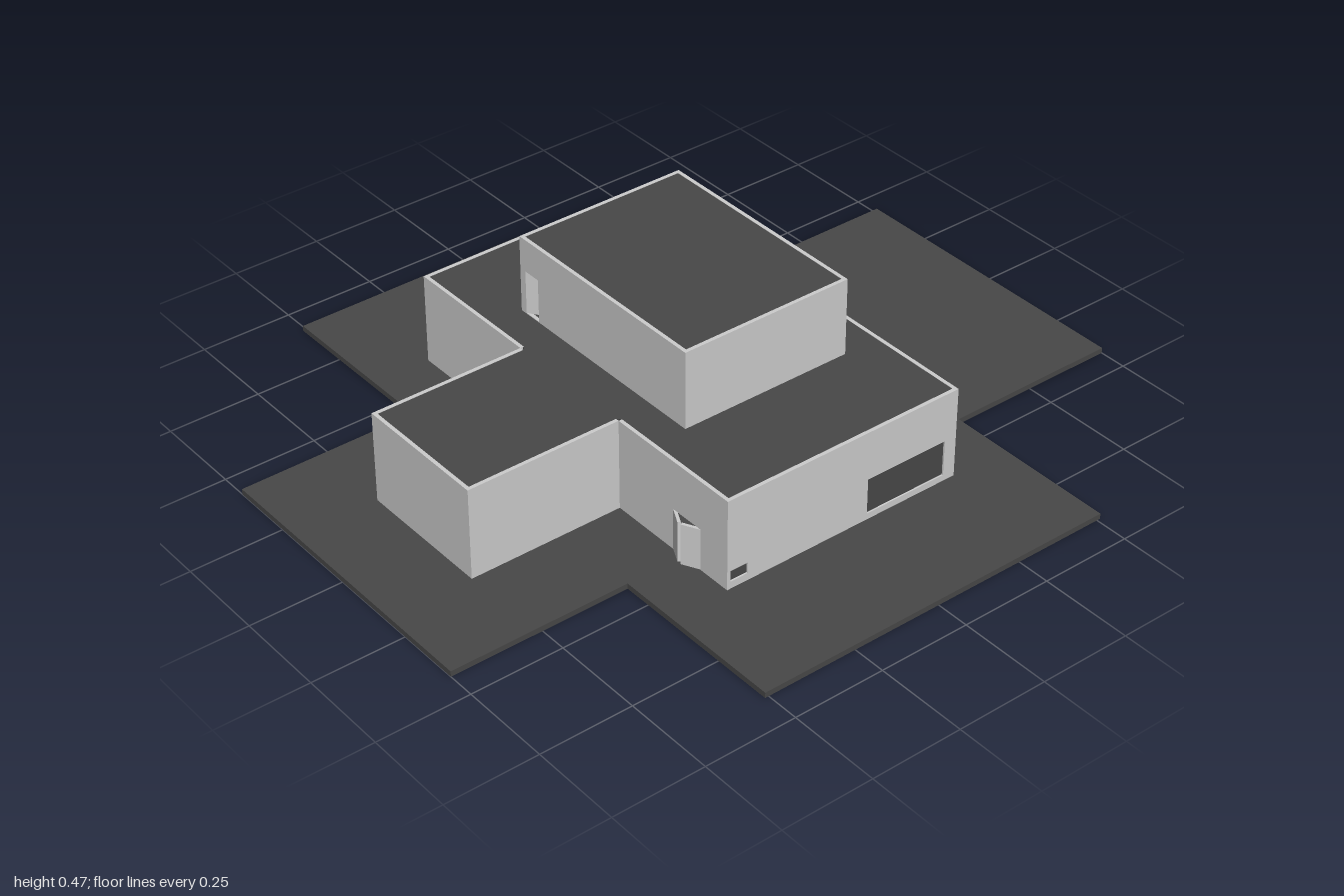
import * as THREE from 'three';

const T = 0.01; // wall thickness
const light = new THREE.MeshStandardMaterial({ color: 0xcccccc });
const dark = new THREE.MeshStandardMaterial({ color: 0x484848 });

function addMesh(parent, name, geometry, material) {
  const mesh = new THREE.Mesh(geometry, material);
  mesh.name = name;
  parent.add(mesh);
  return mesh;
}

// Horizontal slab from an [x, z] outline, with its top at the given height
function slab(parent, name, outline, top, thickness) {
  const shape = new THREE.Shape(outline.map(([x, z]) => new THREE.Vector2(x, -z)));
  const geometry = new THREE.ExtrudeGeometry(shape, { depth: thickness, bevelEnabled: false });
  geometry.rotateX(-Math.PI / 2).translate(0, top - thickness, 0);
  return addMesh(parent, name, geometry, dark);
}

// Shrink a right-angled outline inward by t
function inset(outline, t) {
  const n = outline.length;
  const inward = (a, b) => {
    const len = Math.hypot(b[0] - a[0], b[1] - a[1]);
    return [(b[1] - a[1]) / len, -(b[0] - a[0]) / len];
  };
  return outline.map((p, i) => {
    const m = inward(outline[(i + n - 1) % n], p);
    const k = inward(p, outline[(i + 1) % n]);
    return [p[0] + (m[0] + k[0]) * t, p[1] + (m[1] + k[1]) * t];
  });
}

// Door leaf swung about its hinge; side 1 extends right of the hinge, -1 left
function doorLeaf(parent, u, y0, width, height, side, angle) {
  const t = 0.008;
  const geometry = new THREE.BoxGeometry(width, height, t);
  geometry.translate(side * width / 2, height / 2, -t / 2);
  const leaf = addMesh(parent, 'doorLeaf', geometry, light);
  leaf.position.set(u, y0, 0);
  leaf.rotation.y = -side * angle;
}

// Wall from a to b: local x runs along it, local z points outward
function wall(parent, a, b, y0, y1, openings = []) {
  const group = new THREE.Group();
  group.name = 'wall';
  const dx = b[0] - a[0], dz = b[1] - a[1], length = Math.hypot(dx, dz);
  const rect = (Type, u0, u1, v0, v1) => new Type([[u0, v0], [u1, v0], [u1, v1], [u0, v1]]
    .map(([u, v]) => new THREE.Vector2(u, v)));
  const shape = rect(THREE.Shape, 0, length, y0, y1);
  for (const { u0, u1, v0, v1, doors } of openings) {
    shape.holes.push(rect(THREE.Path, u0, u1, v0, v1));
    if (!doors) {
      const geometry = new THREE.BoxGeometry(u1 - u0, v1 - v0, 0.003);
      geometry.translate((u0 + u1) / 2, (v0 + v1) / 2, -T * 0.6);
      addMesh(group, 'windowGlass', geometry, dark);
    } else {
      const width = (u1 - u0) / doors.length;
      for (const [side, angle] of doors) {
        doorLeaf(group, side > 0 ? u0 : u1, v0, width, v1 - v0, side, angle);
      }
    }
  }
  const geometry = new THREE.ExtrudeGeometry(shape, { depth: T, bevelEnabled: false });
  geometry.translate(0, 0, -T);
  addMesh(group, 'wallPanel', geometry, light);
  group.position.set(a[0], 0, a[1]);
  group.rotation.y = Math.atan2(-dz, dx);
  parent.add(group);
}

// A storey: one wall per outline edge and a roof set just inside them
function storey(parent, name, outline, y0, y1, openings) {
  const group = new THREE.Group();
  group.name = name;
  outline.forEach((p, i) => {
    wall(group, p, outline[(i + 1) % outline.length], y0, y1, openings[i]);
  });
  slab(group, 'roof', inset(outline, T * 0.7), y1 - 0.001, 0.012);
  parent.add(group);
}

export function createModel() {
  const model = new THREE.Group();
  model.name = 'house';

  // Cross-shaped ground slab
  slab(model, 'ground', [
    [-0.51, 0.91], [0.51, 0.91], [0.51, 0.425], [1, 0.425], [1, -0.425], [0.51, -0.425],
    [0.51, -0.915], [-0.51, -0.915], [-0.51, -0.425], [-1, -0.425], [-1, 0.425], [-0.51, 0.425],
  ], 0.015, 0.015);

  // Ground storey with side wing
  const ajar = 0.48;
  storey(model, 'groundStorey', [
    [-0.35, 0.585], [0.345, 0.585], [0.345, -0.59], [-0.35, -0.59],
    [-0.35, -0.19], [-0.775, -0.19], [-0.775, 0.19], [-0.35, 0.19],
  ], 0.01, 0.265, {
    0: [
      { u0: 0.01, u1: 0.06, v0: 0.035, v1: 0.065 },
      { u0: 0.42, u1: 0.66, v0: 0.032, v1: 0.13 },
    ],
    1: [{ u0: 0.797, u1: 0.852, v0: 0.016, v1: 0.13, doors: [[1, ajar]] }],
    2: [{ u0: 0.585, u1: 0.665, v0: 0.05, v1: 0.155 }],
    7: [{ u0: 0.2, u1: 0.3, v0: 0.016, v1: 0.13, doors: [[1, ajar], [-1, ajar]] }],
  });

  // Upper storey
  storey(model, 'upperStorey', [
    [-0.25, 0.31], [0.235, 0.31], [0.235, -0.32], [-0.25, -0.32],
  ], 0.255, 0.475, {
    1: [
      { u0: 0.14, u1: 0.195, v0: 0.266, v1: 0.385, doors: [[1, ajar]] },
      { u0: 0.5, u1: 0.598, v0: 0.266, v1: 0.385, doors: [[1, ajar], [-1, ajar]] },
    ],
    2: [{ u0: 0.03, u1: 0.455, v0: 0.285, v1: 0.45 }],
    3: [{ u0: 0.02, u1: 0.07, v0: 0.266, v1: 0.385, doors: [[1, -0.6]] }],
  });

  return model;
}
